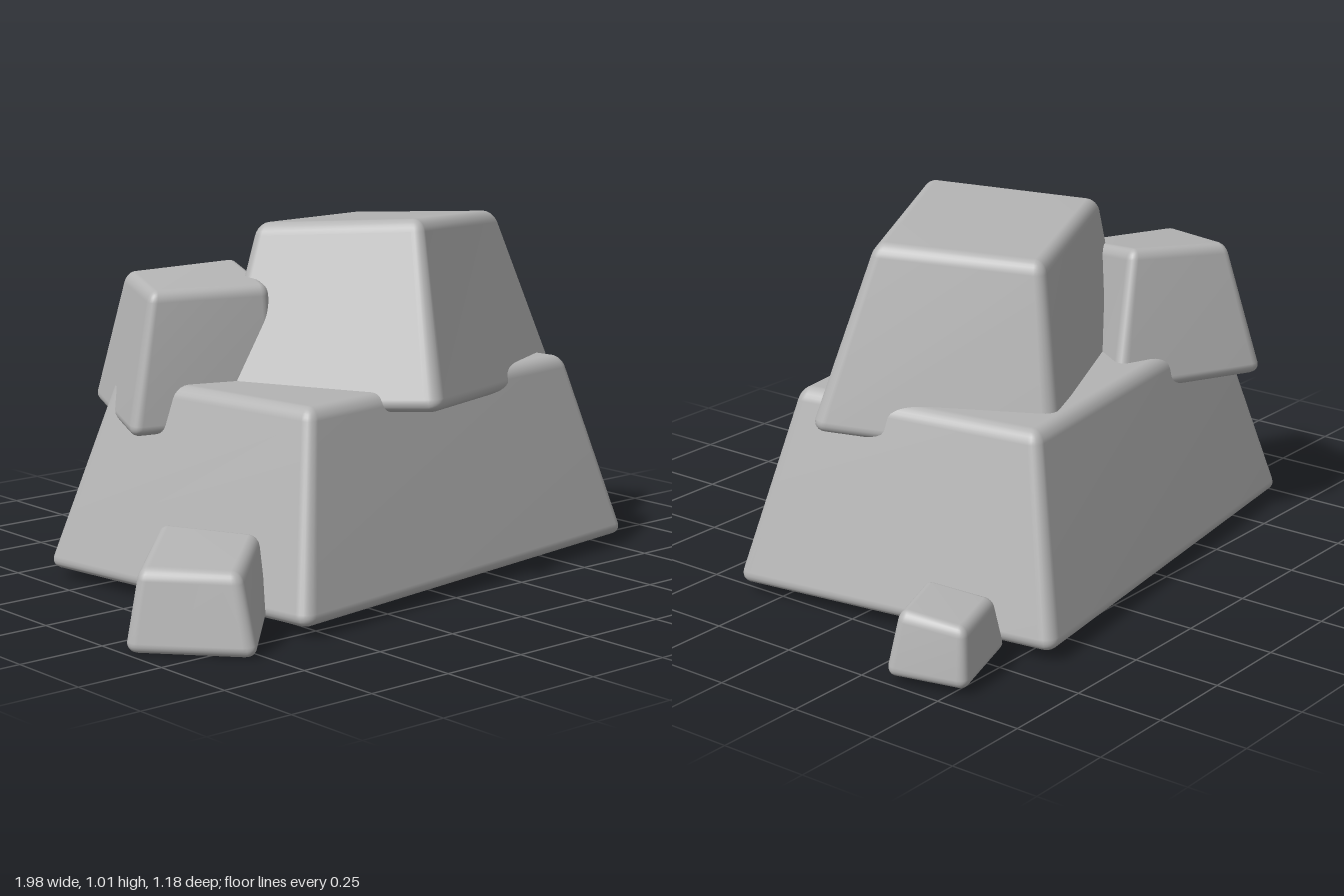
import * as THREE from 'three';
import { mergeVertices } from 'three/addons/utils/BufferGeometryUtils.js';
import { RoundedBoxGeometry } from 'three/addons/geometries/RoundedBoxGeometry.js';

// Each rock: bottom and top corners [x, y, z] in the order back-left, back-right, front-right, front-left
const ROCKS = [
  { name: 'baseRock', radius: 0.035,
    bottom: [[-0.71, 0.03, -0.41], [0.66, 0.03, -0.60], [0.80, 0.03, 0.37], [-0.58, 0.03, 0.56]],
    top: [[-0.53, 0.57, -0.31], [0.53, 0.57, -0.45], [0.63, 0.57, 0.27], [-0.44, 0.57, 0.41]] },
  { name: 'topRock', radius: 0.035,
    bottom: [[-0.40, 0.48, -0.07], [0.41, 0.43, -0.43], [0.71, 0.48, 0.17], [-0.10, 0.53, 0.53]],
    top: [[-0.19, 0.985, -0.11], [0.34, 0.955, -0.32], [0.53, 0.98, 0.08], [0.02, 1.02, 0.32]] },
  { name: 'leaningRock', radius: 0.03,
    bottom: [[-0.48, 0.47, -0.49], [-0.02, 0.49, -0.31], [-0.23, 0.44, 0.02], [-0.63, 0.43, -0.11]],
    top: [[-0.44, 0.845, -0.38], [-0.16, 0.87, -0.26], [-0.25, 0.83, 0.0], [-0.55, 0.825, -0.12]] },
  { name: 'frontGroundRock', radius: 0.03,
    bottom: [[-1.0, 0.0, 0.35], [-0.71, 0.03, 0.10], [-0.56, 0.03, 0.37], [-0.78, 0.0, 0.60]],
    top: [[-0.95, 0.215, 0.35], [-0.73, 0.265, 0.15], [-0.58, 0.25, 0.36], [-0.78, 0.21, 0.53]] },
  { name: 'smallGroundRock', radius: 0.025,
    bottom: [[0.69, 0.03, -0.47], [0.94, 0.015, -0.54], [1.0, 0.02, -0.33], [0.76, 0.04, -0.255]],
    top: [[0.73, 0.18, -0.46], [0.92, 0.175, -0.52], [0.96, 0.195, -0.35], [0.78, 0.205, -0.29]] },
];

// Pushes corners slightly outward to make up for the rounding
function ring(points, grow) {
  const ps = points.map(p => new THREE.Vector3(...p));
  const c = ps.reduce((sum, p) => sum.add(p), new THREE.Vector3()).multiplyScalar(0.25);
  return ps.map(p => {
    const out = p.clone().sub(c).setY(0).normalize();
    return p.addScaledVector(out, grow);
  });
}

// Rounded box whose eight corners are moved to the given places
function rockGeometry({ bottom, top, radius }) {
  const lo = ring(bottom, radius * 0.3), hi = ring(top, radius * 0.3);
  const mid = lo.map((p, i) => p.clone().lerp(hi[i], 0.5));
  const w = mid[0].distanceTo(mid[1]), d = mid[1].distanceTo(mid[2]);
  const h = hi[0].y - lo[0].y;
  let geo = new RoundedBoxGeometry(w, h, d, 3, radius);
  geo.deleteAttribute('normal');
  geo.deleteAttribute('uv');
  geo.clearGroups();
  geo = mergeVertices(geo, 1e-5);

  const pos = geo.attributes.position;
  const blend = (r, u, v) => r[0].clone().lerp(r[1], u).lerp(r[3].clone().lerp(r[2], u), v);
  for (let i = 0; i < pos.count; i++) {
    const u = pos.getX(i) / w + 0.5, t = pos.getY(i) / h + 0.5, v = pos.getZ(i) / d + 0.5;
    const p = blend(lo, u, v).lerp(blend(hi, u, v), t);
    pos.setXYZ(i, p.x, p.y, p.z);
  }
  geo.computeVertexNormals();
  return geo;
}

export function createModel() {
  const model = new THREE.Group();
  model.name = 'rockPile';
  const stone = new THREE.MeshStandardMaterial({ color: 0xb4b4b4 });
  stone.name = 'stoneGrey';
  for (const rock of ROCKS) {
    const mesh = new THREE.Mesh(rockGeometry(rock), stone);
    mesh.name = rock.name;
    model.add(mesh);
  }
  return model;
}
